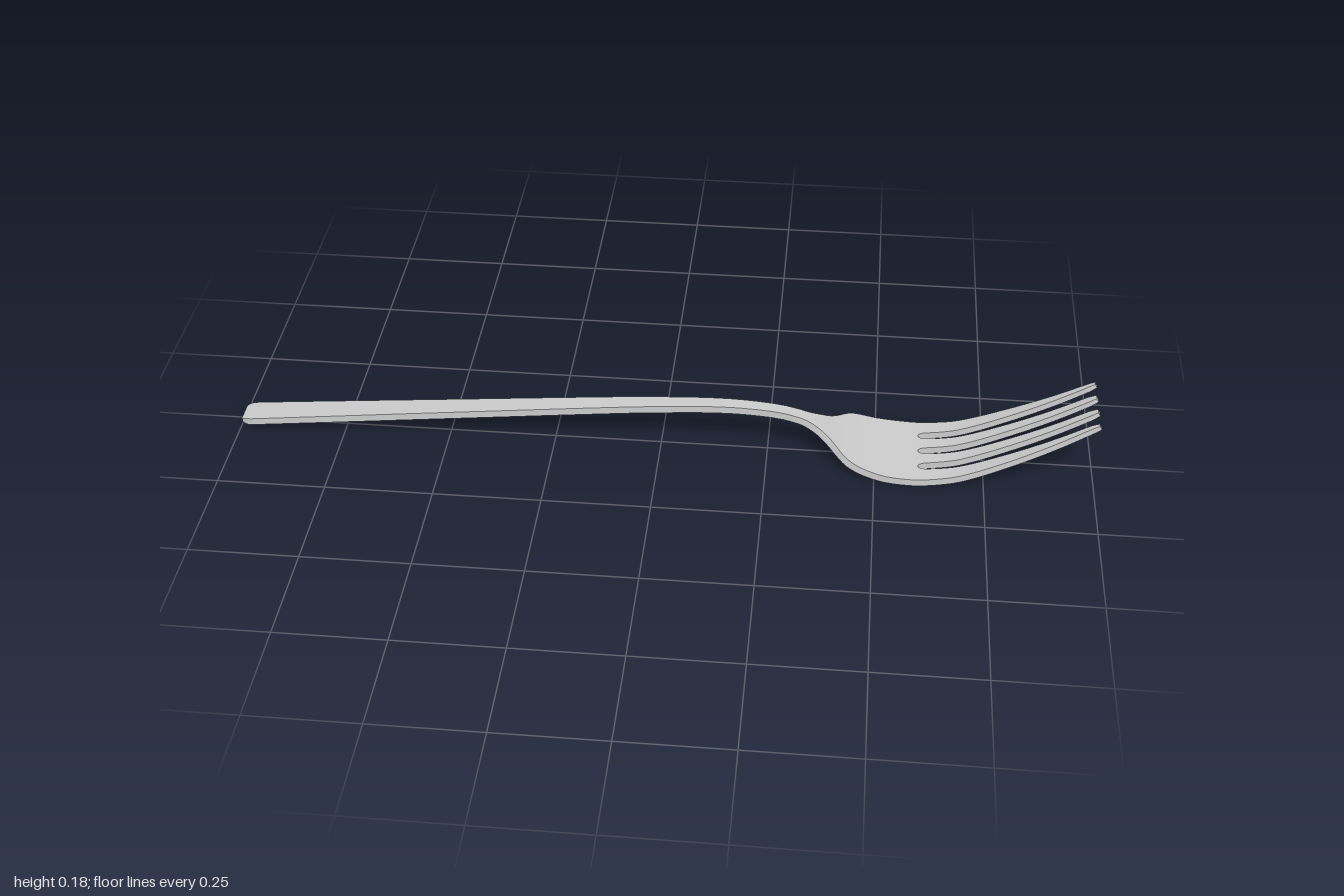
import * as THREE from 'three';
import { toCreasedNormals } from 'three/addons/utils/BufferGeometryUtils.js';

// Smooth curve through [x, value] points
function profile(points) {
  const slope = (i) => {
    const a = points[Math.max(i - 1, 0)], b = points[Math.min(i + 1, points.length - 1)];
    return (b[1] - a[1]) / (b[0] - a[0]);
  };
  return (x) => {
    let i = 0;
    while (i < points.length - 2 && x > points[i + 1][0]) i++;
    const [x0, v0] = points[i], [x1, v1] = points[i + 1];
    const h = x1 - x0, t = (x - x0) / h, t2 = t * t, t3 = t2 * t;
    return (2 * t3 - 3 * t2 + 1) * v0 + (t3 - 2 * t2 + t) * h * slope(i)
      + (3 * t2 - 2 * t3) * v1 + (t3 - t2) * h * slope(i + 1);
  };
}

// Side profile of the whole fork, its half width and half thickness
const height = profile([[-1, 0.011], [-0.5, 0.06], [-0.1, 0.099], [0, 0.107], [0.13, 0.114], [0.22, 0.112],
  [0.3, 0.102], [0.36, 0.08], [0.42, 0.047], [0.5, 0.018], [0.58, 0.009], [0.64, 0.013], [0.7, 0.026],
  [0.8, 0.068], [0.9, 0.118], [1, 0.176]]);
const halfWidth = profile([[-1, 0.026], [-0.985, 0.033], [-0.96, 0.034], [-0.5, 0.027], [0, 0.02], [0.2, 0.017],
  [0.32, 0.017], [0.35, 0.022], [0.39, 0.045], [0.43, 0.088], [0.45, 0.1], [0.48, 0.107], [0.54, 0.113],
  [0.65, 0.111], [0.8, 0.103], [0.95, 0.091], [1, 0.087]]);
const halfThickness = profile([[-1, 0.006], [-0.98, 0.0085], [0.6, 0.0085], [0.8, 0.0075], [0.98, 0.0065], [1, 0.005]]);

// Bent bar: a rectangular section swept along x between two edge functions
function bar(xs, zMin, zMax, capStart, capEnd) {
  const rings = xs.map((x) => {
    const slope = (height(x + 0.001) - height(x - 0.001)) / 0.002;
    const len = Math.hypot(1, slope), h = halfThickness(x), y = height(x);
    const dx = -slope / len * h, dy = h / len;
    return [[1, zMax(x)], [1, zMin(x)], [-1, zMin(x)], [-1, zMax(x)]]
      .map(([s, z]) => [x + s * dx, y + s * dy, z]);
  });
  const pos = [];
  const quad = (a, b, c, d) => pos.push(...a, ...b, ...c, ...a, ...c, ...d);
  for (let i = 0; i < rings.length - 1; i++) {
    const p = rings[i], q = rings[i + 1];
    for (let k = 0; k < 4; k++) quad(p[k], q[k], q[(k + 1) % 4], p[(k + 1) % 4]);
  }
  if (capStart) quad(...rings[0]);
  if (capEnd) quad(...rings[rings.length - 1].slice().reverse());
  const geometry = new THREE.BufferGeometry();
  geometry.setAttribute('position', new THREE.Float32BufferAttribute(pos, 3));
  return toCreasedNormals(geometry, 0.7);
}

const range = (a, b, n) => Array.from({ length: n + 1 }, (_, i) => a + (b - a) * i / n);

export function createModel() {
  const group = new THREE.Group();
  const material = new THREE.MeshStandardMaterial({ color: 0xcccccc });
  const add = (name, geometry) => {
    const mesh = new THREE.Mesh(geometry, material);
    mesh.name = name;
    group.add(mesh);
  };
  const right = (x) => -halfWidth(x);
  const root = 0.6;

  // Handle and the bowl it widens into
  add('handle', bar([-0.999, -0.992, -0.985, -0.972, ...range(-0.96, 0.32, 40)], right, halfWidth, true, false));
  add('bowl', bar(range(0.32, root, 28), right, halfWidth, false, false));

  // Slot edges: they open from a rounded root and widen towards the tips
  const opening = (x) => Math.sqrt(Math.max(0, 1 - (1 - Math.min((x - root) / 0.02, 1)) ** 2));
  const along = (x) => (x - root) / (1 - root);
  const tip = (x) => 0.003 * Math.max(0, (x - 0.98) / 0.02);
  const slotInner = (x) => 0.059 - opening(x) * (0.011 + 0.011 * along(x)) - tip(x);
  const slotOuter = (x) => 0.059 + opening(x) * (0.011 + 0.005 * along(x)) + tip(x);
  const slotMiddle = (x) => opening(x) * (0.011 + 0.007 * along(x)) + tip(x);
  const flip = (f) => (x) => -f(x);

  // Four tines, mirrored across the middle
  const xs = [...[0, 0.001, 0.003, 0.006, 0.01, 0.015].map((d) => root + d), ...range(0.62, 0.98, 24), 0.99, 0.997];
  add('leftOuterTine', bar(xs, slotOuter, halfWidth, false, true));
  add('leftInnerTine', bar(xs, slotMiddle, slotInner, false, true));
  add('rightInnerTine', bar(xs, flip(slotInner), flip(slotMiddle), false, true));
  add('rightOuterTine', bar(xs, right, flip(slotOuter), false, true));
  return group;
}
